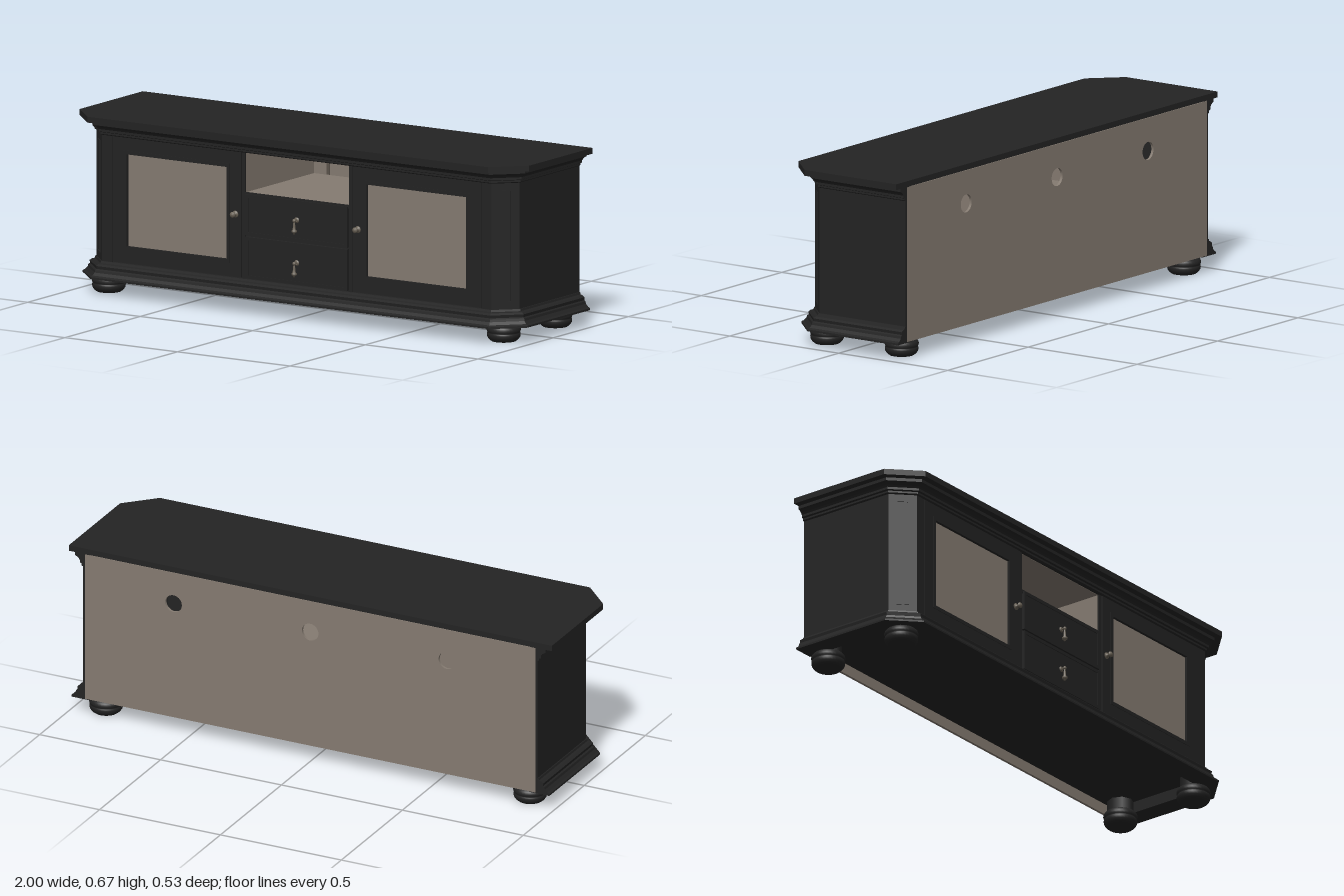
import * as THREE from 'three';

const black = new THREE.MeshStandardMaterial({ color: 0x232323 });
black.name = 'black paint';
const taupe = new THREE.MeshStandardMaterial({ color: 0x857b71 });
taupe.name = 'taupe panel';
const groove = new THREE.MeshStandardMaterial({ color: 0x5a534b });
groove.name = 'board groove';
const bronze = new THREE.MeshStandardMaterial({ color: 0x6a6256 });
bronze.name = 'aged bronze';

const BACK = -0.263, FRONT = 0.208, SIDE = 0.94, CUT = 0.075;
// plan outline of the carcass, from the rear right corner round the front to the rear left
const half = [[SIDE - CUT, FRONT], [SIDE, FRONT - CUT], [SIDE, BACK]];
const mirrorPath = p => p.map(([x, z]) => [-x, z]).reverse();
const plan = [...mirrorPath(half), ...half];

// offsets a path outward with mitred corners
function offsetPath(path, o) {
  const normals = path.slice(1).map(([x, z], i) => {
    const dx = x - path[i][0], dz = z - path[i][1], l = Math.hypot(dx, dz);
    return [-dz / l, dx / l];
  });
  return path.map(([x, z], i) => {
    const a = normals[Math.max(i - 1, 0)], b = normals[Math.min(i, normals.length - 1)];
    const k = o / (1 + a[0] * b[0] + a[1] * b[1]);
    return [x + (a[0] + b[0]) * k, z + (a[1] + b[1]) * k];
  });
}

// sweeps a closed counterclockwise [offset, y] profile along a plan path
function sweep(path, profile) {
  const rails = profile.map(([o, y]) => offsetPath(path, o).map(([x, z]) => [x, y, z]));
  const pos = [], n = profile.length, last = path.length - 1;
  const tri = (...pts) => pts.forEach(p => pos.push(...p));
  for (let i = 0; i < last; i++) {
    for (let j = 0; j < n; j++) {
      const k = (j + 1) % n;
      tri(rails[j][i], rails[j][i + 1], rails[k][i + 1]);
      tri(rails[j][i], rails[k][i + 1], rails[k][i]);
    }
  }
  const contour = profile.map(p => new THREE.Vector2(...p));
  for (const [a, b, c] of THREE.ShapeUtils.triangulateShape(contour, [])) {
    tri(rails[a][0], rails[b][0], rails[c][0]);
    tri(rails[a][last], rails[c][last], rails[b][last]);
  }
  const g = new THREE.BufferGeometry();
  g.setAttribute('position', new THREE.Float32BufferAttribute(pos, 3));
  g.computeVertexNormals();
  return g;
}

// solid board with the carcass outline
function planBoard(offset, y, h) {
  const s = new THREE.Shape(offsetPath(plan, offset).map(([x, z]) => new THREE.Vector2(x, -z)));
  return new THREE.ExtrudeGeometry(s, { depth: h, bevelEnabled: false }).rotateX(-Math.PI / 2).translate(0, y, 0);
}

function rect(Type, x0, x1, y0, y1) {
  return new Type([[x0, y0], [x1, y0], [x1, y1], [x0, y1]].map(p => new THREE.Vector2(...p)));
}

// flat rectangular frame whose front lies at z
function frame(x0, x1, y0, y1, border, z, depth) {
  const s = rect(THREE.Shape, x0, x1, y0, y1);
  const [bx, by] = Array.isArray(border) ? border : [border, border];
  s.holes.push(rect(THREE.Path, x0 + bx, x1 - bx, y0 + by, y1 - by));
  return new THREE.ExtrudeGeometry(s, { depth, bevelEnabled: false }).translate(0, 0, z - depth);
}

function box(x0, x1, y0, y1, z0, z1) {
  return new THREE.BoxGeometry(x1 - x0, y1 - y0, z1 - z0).translate((x0 + x1) / 2, (y0 + y1) / 2, (z0 + z1) / 2);
}

const lathe = (pts, seg) => new THREE.LatheGeometry(pts.map(p => new THREE.Vector2(...p)), seg);

export function createModel() {
  const model = new THREE.Group();
  model.name = 'mediaCabinet';
  const add = (name, geo, mat = black, parent = model) => {
    const m = new THREE.Mesh(geo, mat);
    m.name = name;
    parent.add(m);
    return m;
  };

  // top and mouldings
  add('topSlab', planBoard(0.059, 0.65, 0.022));
  add('ceilingBoard', planBoard(-0.012, 0.6, 0.012));
  add('crownMoulding', sweep(plan, [[-0.03, 0.598], [0, 0.598], [0.006, 0.602], [0.006, 0.609], [0.013, 0.612],
    [0.013, 0.621], [0.018, 0.628], [0.025, 0.634], [0.033, 0.638], [0.033, 0.651], [-0.03, 0.651]]));
  add('baseMoulding', sweep(plan, [[-0.035, 0.061], [0.048, 0.061], [0.048, 0.068], [0.039, 0.073], [0.03, 0.083],
    [0.028, 0.092], [0.022, 0.096], [0.024, 0.107], [0.015, 0.113], [0.006, 0.116], [0.004, 0.124], [-0.035, 0.124]]));
  add('bottomBoard', planBoard(-0.012, 0.105, 0.018));

  // back panel with cable holes
  const back = rect(THREE.Shape, -0.932, 0.932, 0.064, 0.649);
  for (const x of [-0.565, 0, 0.565]) {
    const hole = new THREE.Path();
    hole.absarc(x, 0.524, 0.034, 0, Math.PI * 2, true);
    back.holes.push(hole);
  }
  add('backPanel', new THREE.ExtrudeGeometry(back, { depth: 0.01, bevelEnabled: false, curveSegments: 24 })
    .translate(0, 0, BACK - 0.001), taupe);

  // open niche
  add('nicheShelf', box(-0.232, 0.232, 0.438, 0.448, -0.252, 0.2), taupe);
  add('nicheShelfEdge', box(-0.232, 0.232, 0.436, 0.449, 0.198, 0.206));
  add('nicheCeiling', box(-0.232, 0.232, 0.597, 0.6, -0.252, 0.2), taupe);
  for (const x of [-0.168, -0.055, 0.052, 0.17]) {
    add('nicheBoardGroove', box(x - 0.007, x + 0.007, 0.449, 0.597, -0.2535, -0.251), groove);
  }

  // drawers
  add('drawerBacking', box(-0.232, 0.232, 0.12, 0.437, 0.18, 0.2));
  for (const [y0, y1] of [[0.127, 0.283], [0.289, 0.443]]) {
    add('drawerFront', box(-0.226, 0.226, y0, y1, 0.2, 0.209));
    add('drawerBead', frame(-0.226, 0.226, y0, y1, 0.012, 0.212, 0.004));
  }

  // hanging pull, origin on the drawer surface at the rosette
  const pull = (x, y, z) => {
    const g = new THREE.Group();
    g.name = 'dropPull';
    add('rosette', new THREE.CylinderGeometry(0.007, 0.011, 0.004, 16).rotateX(Math.PI / 2).translate(0, 0, 0.002), bronze, g);
    add('stem', new THREE.CylinderGeometry(0.0035, 0.0035, 0.018, 10).rotateX(Math.PI / 2).translate(0, 0, 0.009), bronze, g);
    add('stemBall', new THREE.SphereGeometry(0.007, 12, 8).translate(0, 0, 0.016), bronze, g);
    add('drop', lathe([[0, -0.052], [0.004, -0.05], [0.004, -0.046], [0.01, -0.043], [0.01, -0.037],
      [0.006, -0.033], [0.0045, -0.02], [0.003, -0.004], [0, 0]], 14).translate(0, 0, 0.016), bronze, g);
    g.position.set(x, y, z);
    model.add(g);
  };
  pull(0, 0.208, 0.209);
  pull(0, 0.369, 0.209);

  // mirrored carcass sides, doors and feet
  const sidePath = [[0.82, FRONT], ...half];
  for (const s of [1, -1]) {
    const span = (a, b) => (s > 0 ? [a, b] : [-b, -a]);
    add('sideWall', sweep(s > 0 ? sidePath : mirrorPath(sidePath),
      [[-0.018, 0.12], [0, 0.12], [0, 0.602], [-0.018, 0.602]]));
    const bead = add('cornerPanelBead', frame(-0.0235, 0.0235, -0.211, 0.211, 0.004, 0.003, 0.004));
    bead.position.set(s * (SIDE - CUT / 2), 0.361, FRONT - CUT / 2);
    bead.rotation.y = s * Math.PI / 4;

    add('divider', box(...span(0.231, 0.245), 0.12, 0.6, -0.252, 0.199), taupe);
    add('dividerEdge', box(...span(0.231, 0.245), 0.12, 0.6, 0.199, 0.206));

    // door frame, inner bead and panel
    const [d0, d1] = span(0.247, 0.818), [p0, p1] = span(0.305, 0.76);
    const door = rect(THREE.Shape, d0, d1, 0.126, 0.599);
    door.holes.push(rect(THREE.Path, p0, p1, 0.184, 0.542));
    add('doorFrame', new THREE.ExtrudeGeometry(door, { depth: 0.018, bevelEnabled: false }).translate(0, 0, 0.19));
    add('doorBead', frame(p0 - 0.008, p1 + 0.008, 0.176, 0.55, 0.014, 0.21, 0.012));
    add('doorPanel', box(p0 - 0.003, p1 + 0.003, 0.181, 0.545, 0.193, 0.199), taupe);
    add('doorKnob', lathe([[0, 0], [0.013, 0], [0.012, 0.004], [0.005, 0.006], [0.005, 0.014],
      [0.011, 0.018], [0.011, 0.022], [0.006, 0.026], [0, 0.027]], 16).rotateX(Math.PI / 2)
      .translate(s * 0.272, 0.363, FRONT), bronze);

    // bun feet with mounting blocks
    for (const z of [0.144, -0.198]) {
      add('bunFoot', lathe([[0, 0], [0.046, 0], [0.055, 0.007], [0.061, 0.016], [0.0625, 0.025], [0.061, 0.031],
        [0.059, 0.033], [0.062, 0.036], [0.064, 0.044], [0.061, 0.053], [0.054, 0.06], [0.045, 0.063], [0, 0.063]], 32)
        .translate(s * 0.877, 0, z));
      add('footBlock', new THREE.CylinderGeometry(0.05, 0.05, 0.046, 8).translate(s * 0.877, 0.084, z));
    }
  }
  return model;
}
